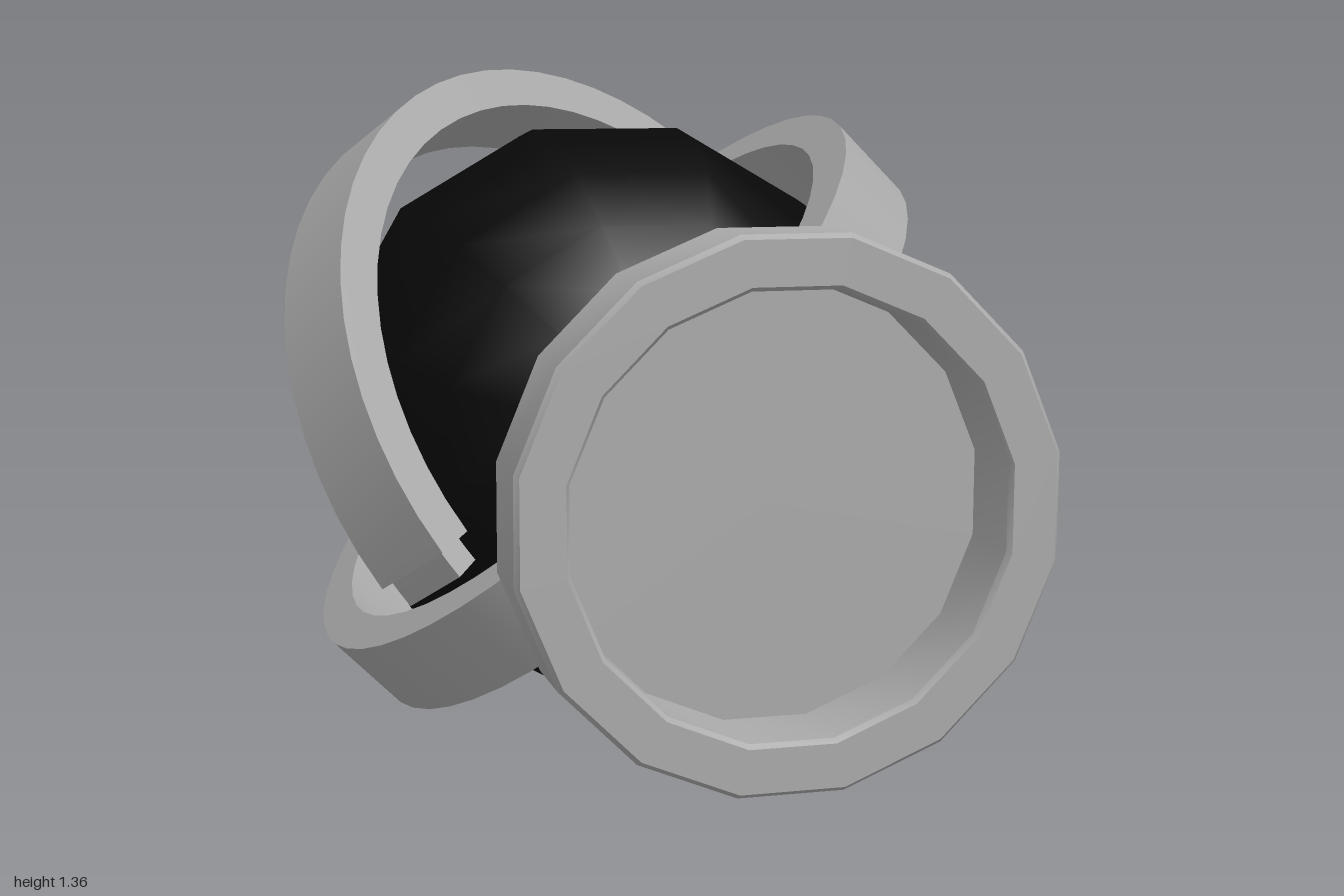
import * as THREE from 'three';
import { toCreasedNormals } from 'three/addons/utils/BufferGeometryUtils.js';

const grey = new THREE.MeshStandardMaterial({ color: 0xaaaaaa });
grey.name = 'grey metal';
const black = new THREE.MeshStandardMaterial({ color: 0x080808 });
black.name = 'black rubber';

const CENTRE = new THREE.Vector3(0, 0.69, -0.256);
const rad = THREE.MathUtils.degToRad;

function addMesh(parent, name, geometry, material) {
  const mesh = new THREE.Mesh(geometry, material);
  mesh.name = name;
  parent.add(mesh);
  return mesh;
}

// Solid of revolution about the z axis; points are [radius, z], back to front
function turned(points, sides) {
  const g = new THREE.LatheGeometry(points.map(([r, z]) => new THREE.Vector2(r, z)), sides);
  g.rotateY(Math.PI / sides).rotateX(Math.PI / 2);
  return toCreasedNormals(g, 0.6);
}

// Flat-sided piece of a hoop between two angles in degrees
function sector(inner, outer, width, from, to, segments) {
  const shape = new THREE.Shape();
  shape.absarc(0, 0, outer, rad(from), rad(to), false);
  shape.absarc(0, 0, inner, rad(to), rad(from), true);
  const g = new THREE.ExtrudeGeometry(shape, { depth: width, bevelEnabled: false, curveSegments: segments });
  g.translate(0, 0, -width / 2);
  return toCreasedNormals(g, 0.6);
}

// Open band with a narrower tip at each end, lying in the plane of xAxis and yAxis
function hoop(name, xAxis, yAxis, outer, end) {
  const group = new THREE.Group();
  group.name = name;
  const inner = outer - 0.085;
  addMesh(group, 'band', sector(inner, outer, 0.184, 15, end - 15, Math.round(end / 15)), grey);
  for (const [a, b] of [[10.5, 15.5], [end - 15.5, end - 10.5]]) {
    addMesh(group, 'bandTip', sector(inner + 0.012, outer - 0.014, 0.15, a, b, 1), grey);
  }
  const zAxis = new THREE.Vector3().crossVectors(xAxis, yAxis);
  group.quaternion.setFromRotationMatrix(new THREE.Matrix4().makeBasis(xAxis, yAxis, zAxis));
  group.position.copy(CENTRE);
  return group;
}

export function createModel() {
  const model = new THREE.Group();
  model.name = 'cagedBall';

  // Ball, poles along z
  const ballGeometry = new THREE.SphereGeometry(0.585, 12, 12);
  ballGeometry.rotateX(Math.PI / 2).rotateZ(rad(15));
  addMesh(model, 'ball', ballGeometry, black).position.copy(CENTRE);

  // Neck, open at the back
  const neck = turned([[0.305, 0.474], [0.228, 0.718]], 16);
  addMesh(model, 'neck', neck, black).position.y = CENTRE.y;

  // Round head with a recessed front
  const head = turned([
    [0, 0.715], [0.3, 0.715], [0.445, 0.825], [0.445, 0.848], [0.458, 0.858], [0.458, 0.99],
    [0.45, 1], [0.375, 1], [0.368, 0.99], [0.368, 0.85], [0, 0.85],
  ], 16);
  addMesh(model, 'head', head, grey).position.y = CENTRE.y;

  // Full hoop on the diagonal, with its gap at the back
  const s = Math.SQRT1_2;
  model.add(hoop('mainHoop', new THREE.Vector3(0, 0, -1), new THREE.Vector3(s, s, 0), 0.74, 360));

  // Two tilted half hoops, each the other turned half way round z
  for (const [name, k] of [['rightHalfHoop', 1], ['leftHalfHoop', -1]]) {
    const along = new THREE.Vector3(0.5 * k, 0.5 * k, -s);
    const across = new THREE.Vector3(-s * k, s * k, 0);
    model.add(hoop(name, along, across, 0.735, 180));
  }
  return model;
}
